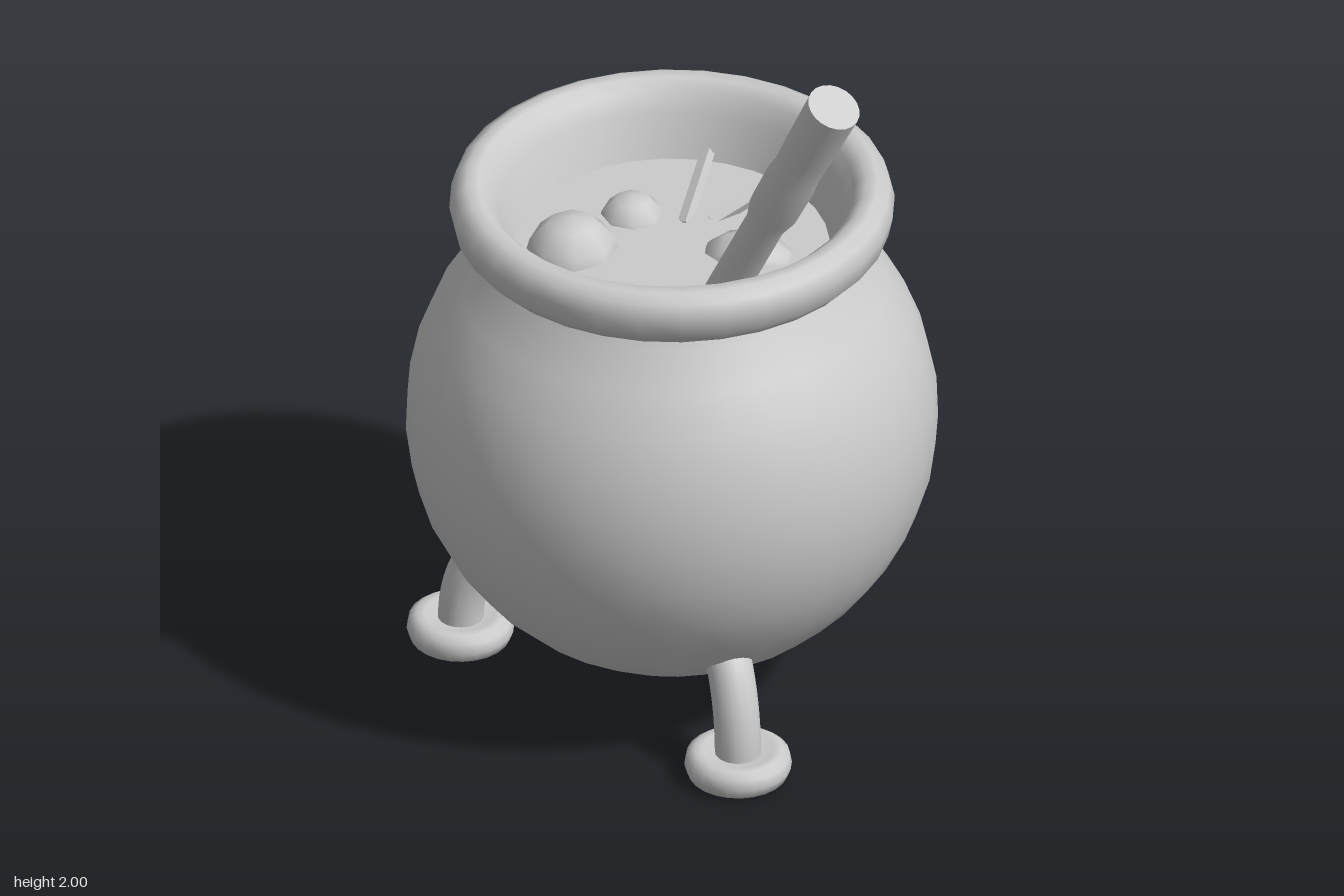
import * as THREE from 'three';

const material = new THREE.MeshStandardMaterial({ color: 0xcccccc });
const POT_X = -0.033;
const SOUP_Y = 1.22;

function add(parent, name, geometry) {
  const mesh = new THREE.Mesh(geometry, material);
  mesh.name = name;
  parent.add(mesh);
  return mesh;
}

function lathe(points, segments) {
  return new THREE.LatheGeometry(points.map(([r, y]) => new THREE.Vector2(r, y)), segments);
}

// Straight part running from one point to another
function aim(mesh, from, to) {
  mesh.position.copy(from).lerp(to, 0.5);
  mesh.quaternion.setFromUnitVectors(new THREE.Vector3(0, 1, 0), to.clone().sub(from).normalize());
}

function createLeg() {
  const leg = new THREE.Group();
  leg.name = 'leg';
  // Bent strut, curving inward into the belly
  const path = new THREE.CatmullRomCurve3(
    [[0.53, 0.05], [0.525, 0.12], [0.505, 0.2], [0.46, 0.28], [0.38, 0.34]]
      .map(([r, y]) => new THREE.Vector3(0, y, r)));
  add(leg, 'legStrut', new THREE.TubeGeometry(path, 12, 0.057, 16));
  // Rounded disc foot
  const foot = add(leg, 'foot', lathe([
    [0, 0], [0.1, 0], [0.1, 0], [0.123, 0.01], [0.132, 0.035], [0.127, 0.062],
    [0.108, 0.076], [0.088, 0.076], [0.05, 0.066], [0, 0.066],
  ], 24));
  foot.position.z = 0.53;
  return leg;
}

export function createModel() {
  const model = new THREE.Group();
  model.name = 'cauldron';
  const pot = new THREE.Group();
  pot.name = 'pot';
  pot.position.x = POT_X;
  model.add(pot);

  // Round belly with a slightly flared neck
  const profile = [];
  for (let i = 0; i <= 13; i++) {
    const a = (i / 13) * 2.2;
    profile.push([0.653 * Math.sin(a), 0.735 - 0.653 * Math.cos(a)]);
  }
  profile.push([0.465, 1.21], [0.44, 1.27]);
  add(pot, 'belly', lathe(profile, 32));

  // Thick rolled rim, sloping down inside to the soup
  add(pot, 'rim', lathe([
    [0.42, 1.25], [0.47, 1.25], [0.505, 1.26], [0.535, 1.293], [0.546, 1.345], [0.534, 1.385],
    [0.505, 1.403], [0.475, 1.403], [0.448, 1.38], [0.425, 1.33], [0.4, 1.26], [0.382, 1.205],
  ], 32));

  // Soup surface
  const soup = add(pot, 'soup', new THREE.CircleGeometry(0.395, 32));
  soup.rotation.x = -Math.PI / 2;
  soup.position.y = SOUP_Y;

  // Three legs: one behind, two in front
  for (const angle of [Math.PI, Math.PI / 3, -Math.PI / 3]) {
    const leg = createLeg();
    leg.rotation.y = angle;
    pot.add(leg);
  }

  // Floating round pieces
  for (const [r, x, z] of [[0.087, -0.2, -0.04], [0.122, -0.205, 0.173]]) {
    const piece = add(model, 'roundVegetable', new THREE.SphereGeometry(r, 8, 6));
    piece.position.set(x, 1.185, z);
  }

  // Floating oval piece
  const ovalGeometry = new THREE.SphereGeometry(0.085, 8, 6);
  ovalGeometry.rotateZ(Math.PI / 2);
  ovalGeometry.scale(1.4, 1, 1);
  const oval = add(model, 'ovalVegetable', ovalGeometry);
  oval.position.set(0.13, 1.19, -0.1);
  oval.rotation.y = 0.5;

  // Thin sticks poking out of the soup
  for (const [x0, z0, x1, z1] of [[-0.08, -0.095, -0.176, -0.288], [-0.037, -0.15, 0.042, -0.35]]) {
    const from = new THREE.Vector3(x0, 1.21, z0);
    const to = new THREE.Vector3(x1, 1.29, z1);
    const stick = add(model, 'stick', new THREE.BoxGeometry(0.025, from.distanceTo(to), 0.025));
    aim(stick, from, to);
  }

  // Ladle handle: slim shaft, then a thicker grip with a flat end
  const bottom = new THREE.Vector3(0.206, 1.165, 0.135);
  const top = new THREE.Vector3(0.625, 1.969, 0.135);
  const length = bottom.distanceTo(top);
  const handle = add(model, 'ladleHandle', lathe([
    [0, 0], [0.05, 0], [0.05, 0.2], [0.05, 0.42], [0.063, 0.475], [0.065, 0.6],
    [0.06, 0.64], [0.063, 0.72], [0.067, length], [0.067, length],
  ].map(([r, y]) => [r, y - length / 2]), 20));
  aim(handle, bottom, top);
  const cap = add(handle, 'handleEnd', new THREE.CircleGeometry(0.067, 20));
  cap.rotation.x = -Math.PI / 2;
  cap.position.y = length / 2;

  return model;
}
